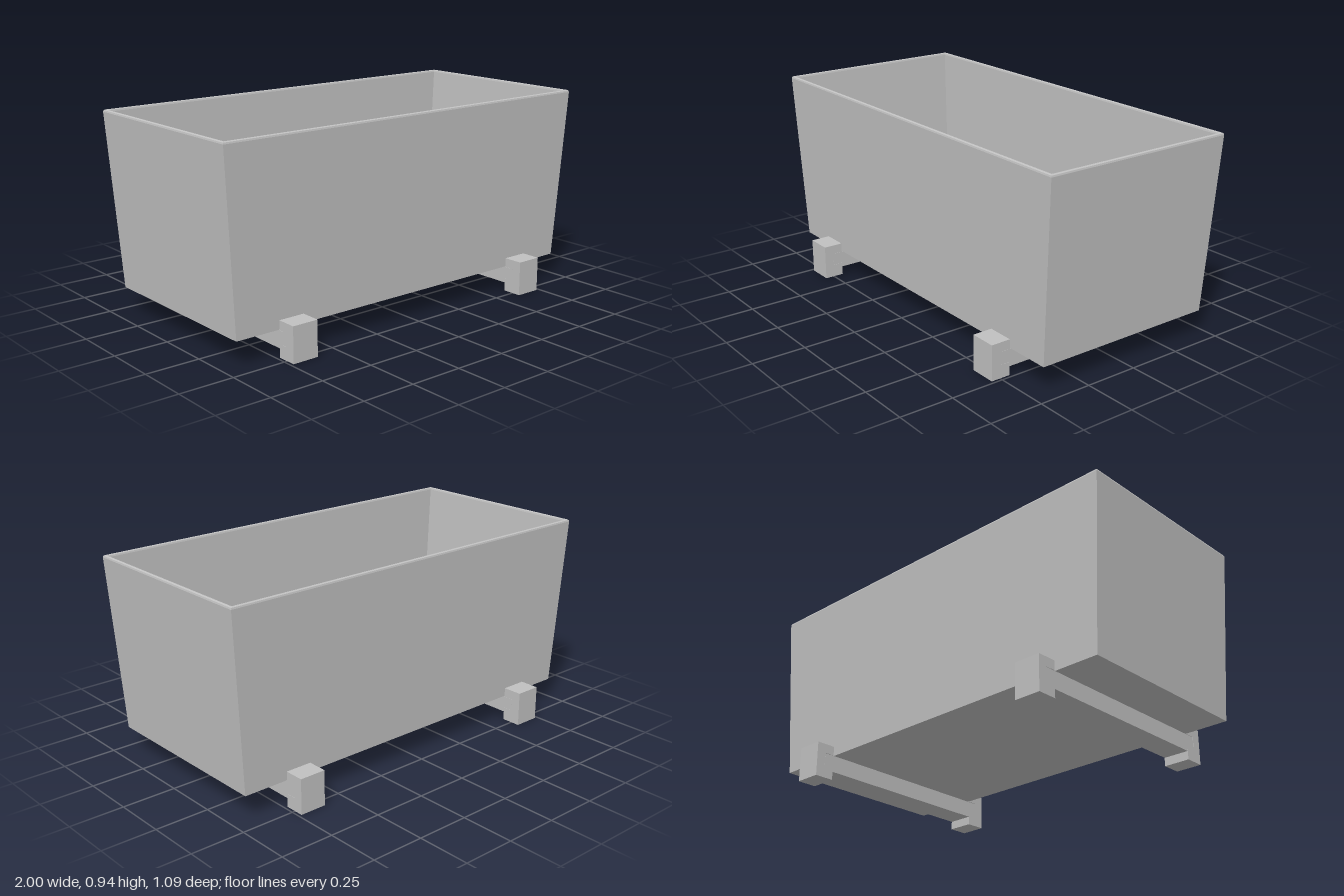
import * as THREE from 'three';

// Closed shell from rectangular rings [halfX, y, halfZ]: base, outside, rim, inside, floor
function ringShell(rings) {
  const pos = [], index = [];
  for (const [x, y, z] of rings) pos.push(x, y, z, x, y, -z, -x, y, -z, -x, y, z);
  for (let i = 0; i < rings.length - 1; i++) {
    for (let j = 0; j < 4; j++) {
      const k = (j + 1) % 4, a = i * 4 + j, b = i * 4 + k;
      index.push(a, b, b + 4, a, b + 4, a + 4);
    }
  }
  const n = (rings.length - 1) * 4;
  index.push(0, 2, 1, 0, 3, 2, n, n + 1, n + 2, n, n + 2, n + 3);
  const geo = new THREE.BufferGeometry();
  geo.setAttribute('position', new THREE.Float32BufferAttribute(pos, 3));
  geo.setIndex(index);
  const flat = geo.toNonIndexed();
  flat.computeVertexNormals();
  return flat;
}

// Extrudes a (z, y) outline along x, centred on x = 0
function sideExtrude(points, width) {
  const shape = new THREE.Shape(points.map(([z, y]) => new THREE.Vector2(-z, y)));
  const geo = new THREE.ExtrudeGeometry(shape, { depth: width, bevelEnabled: false });
  geo.translate(0, 0, -width / 2);
  geo.rotateY(Math.PI / 2);
  return geo;
}

export function createModel() {
  const model = new THREE.Group();
  model.name = 'planter';
  const grey = new THREE.MeshStandardMaterial({ color: 0xc0c0c0 });
  grey.name = 'grey';
  const add = (parent, geo, name) => {
    const mesh = new THREE.Mesh(geo, grey);
    mesh.name = name;
    parent.add(mesh);
    return mesh;
  };

  // Tapered open trough with a softened rim
  add(model, ringShell([
    [0.945, 0.12, 0.445],
    [0.999, 0.93, 0.469],
    [0.997, 0.937, 0.467],
    [0.992, 0.94, 0.462],
    [0.988, 0.94, 0.458],
    [0.984, 0.937, 0.454],
    [0.982, 0.93, 0.452],
    [0.915, 0.14, 0.42],
  ]), 'trough');

  // Crossbar with a tongue at each end, and slotted feet
  const width = 0.125;
  const barGeo = sideExtrude([
    [-0.45, 0.04], [0.45, 0.04], [0.45, 0.06], [0.497, 0.06],
    [0.497, 0.119], [-0.497, 0.119], [-0.497, 0.06], [-0.45, 0.06],
  ], width - 0.002);
  const footGeo = sideExtrude([
    [0.45, 0], [0.543, 0], [0.543, 0.163], [0.45, 0.163],
    [0.45, 0.12], [0.498, 0.12], [0.498, 0.06], [0.45, 0.06],
  ], width);

  for (const side of [-1, 1]) {
    const support = new THREE.Group();
    support.name = side > 0 ? 'leftSupport' : 'rightSupport';
    support.position.x = side * 0.673;
    add(support, barGeo, 'crossbar');
    add(support, footGeo, 'frontFoot');
    add(support, footGeo, 'backFoot').rotation.y = Math.PI;
    model.add(support);
  }
  return model;
}
